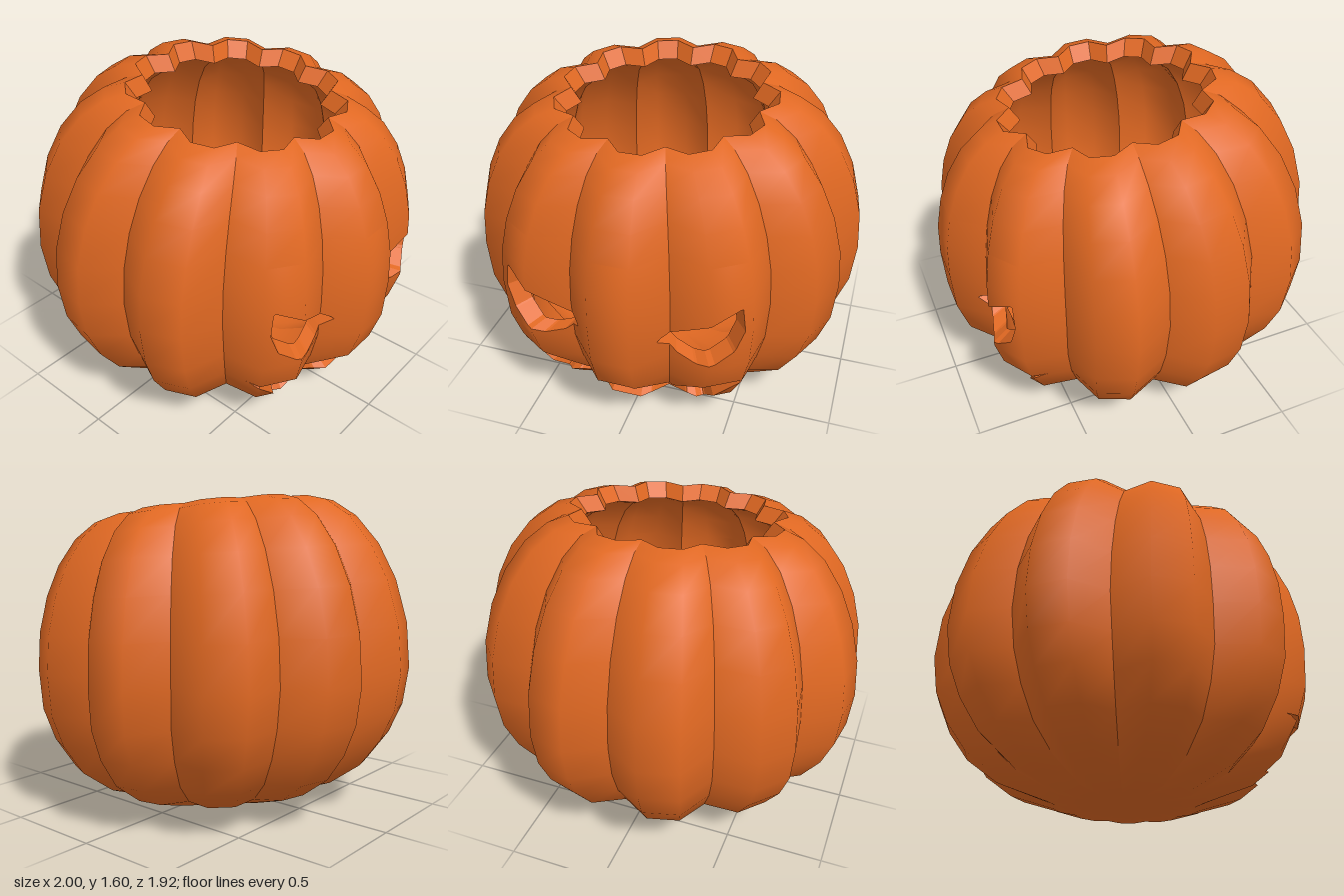
import * as THREE from 'three';

const LOBES = 11;
const STEP = (Math.PI * 2) / LOBES;
const CENTRE = new THREE.Vector3(0, 0.75, 0.04); // the inner wall shrinks toward this point
const INNER = 0.9;
const FINE = 14; // subdivision of the carved panels

// rib profile: radius, height
const PROFILE = [
  [0, 0.02], [0.2, 0.02], [0.4, 0.03], [0.66, 0.12], [0.82, 0.24], [0.92, 0.39], [0.98, 0.55], [1, 0.75],
  [0.985, 0.95], [0.935, 1.14], [0.86, 1.3], [0.76, 1.43], [0.65, 1.51], [0.55, 1.54],
];

// carved outlines in x, y
const eye = [[0.19, 0.65], [0.28, 0.575], [0.38, 0.55], [0.47, 0.57], [0.55, 0.635], [0.59, 0.75], [0.575, 0.875]];
const mouthHalf = [
  [0.08, 0.37], [0.225, 0.24], [0.42, 0.39], [0.59, 0.39], [0.37, 0.155], [0.29, 0.19], [0.17, 0.135], [0.12, 0.18],
];
const mirror = (pts) => pts.map(([x, y]) => [-x, y]).reverse();
const HOLES = [eye, mirror(eye), [...mouthHalf, ...mirror(mouthHalf)]];

// signed distance to the carved outlines, negative inside
function holeDistance(x, y) {
  let best = Infinity;
  for (const poly of HOLES) {
    let inside = false;
    let d = Infinity;
    poly.forEach(([ax, ay], i) => {
      const [bx, by] = poly[(i + 1) % poly.length];
      const ex = bx - ax, ey = by - ay;
      const t = THREE.MathUtils.clamp(((x - ax) * ex + (y - ay) * ey) / (ex * ex + ey * ey), 0, 1);
      d = Math.min(d, Math.hypot(x - ax - ex * t, y - ay - ey * t));
      if ((ay > y) !== (by > y) && x < ax + (ex * (y - ay)) / ey) inside = !inside;
    });
    best = Math.min(best, inside ? -d : d);
  }
  return best;
}

// point on the outer skin: the upper part leans forward and rises to the back
function skinPoint(level, column, lobe) {
  const [r, y] = PROFILE[level];
  const valley = column === 0 || column === 3;
  const ratio = valley ? (level < 3 ? 0.92 : 0.87) : 1;
  const angle = lobe * STEP + [-STEP / 2, -0.1, 0.1, STEP / 2][column];
  const up = Math.max(0, (y - 0.75) / 0.79);
  const down = Math.max(0, 1 - y / 0.75);
  const z = r * ratio * Math.cos(angle) * 0.97;
  return new THREE.Vector3(
    r * ratio * Math.sin(angle),
    y - z * (0.13 * up + 0.04 * down),
    z + 0.08 * up * up + 0.03 * down,
  );
}

// grid of points and smooth normals for one lobe
function lobeGrid(lobe) {
  const points = [];
  const index = [];
  for (let i = 0; i < PROFILE.length; i++) {
    for (let j = 0; j < 4; j++) {
      points.push(skinPoint(i, j, lobe));
      if (i && j) {
        const b = i * 4 + j, a = b - 1;
        index.push(a - 4, b - 4, b, a - 4, b, a);
      }
    }
  }
  const geo = new THREE.BufferGeometry().setFromPoints(points);
  geo.setIndex(index);
  geo.computeVertexNormals();
  const normals = geo.attributes.normal;
  return points.map((p, i) => ({ p, n: new THREE.Vector3().fromBufferAttribute(normals, i) }));
}

const mix = (a, b, t) => ({ p: a.p.clone().lerp(b.p, t), n: a.n.clone().lerp(b.n, t) });
const inward = (p) => p.clone().sub(CENTRE).multiplyScalar(INNER).add(CENTRE);

// collects loose triangles with optional normals
class Surface {
  constructor() {
    this.pos = [];
    this.nor = [];
  }
  add(p, n) {
    this.pos.push(p.x, p.y, p.z);
    if (n) this.nor.push(n.x, n.y, n.z);
  }
  mesh(name, material) {
    const geo = new THREE.BufferGeometry();
    geo.setAttribute('position', new THREE.Float32BufferAttribute(this.pos, 3));
    if (this.nor.length) {
      geo.setAttribute('normal', new THREE.Float32BufferAttribute(this.nor, 3));
      geo.normalizeNormals();
    } else geo.computeVertexNormals();
    const mesh = new THREE.Mesh(geo, material);
    mesh.name = name;
    return mesh;
  }
}

export function createModel() {
  const orange = new THREE.MeshStandardMaterial({ color: 0xe06822 });
  orange.name = 'pumpkin orange';
  const skin = new Surface(), inside = new Surface(), rim = new Surface(), cuts = new Surface();

  // outer triangle and its matching inner triangle
  const shellTriangle = (a, b, c) => {
    [a, b, c].forEach((v) => skin.add(v.p, v.n));
    [a, c, b].forEach((v) => inside.add(inward(v.p), v.n.clone().negate()));
  };
  // wall through the flesh along an edge
  const wall = (surface, p, q) => {
    const pi = inward(p), qi = inward(q);
    [p, pi, qi, p, qi, q].forEach((v) => surface.add(v));
  };
  // trims a triangle at the carved outlines and walls the cut
  const carvedTriangle = (tri) => {
    const kept = [];
    let exit = null, entry = null;
    tri.forEach((a, i) => {
      const b = tri[(i + 1) % 3];
      if (a.d >= 0) kept.push(a);
      if ((a.d >= 0) !== (b.d >= 0)) {
        const cut = mix(a, b, a.d / (a.d - b.d));
        kept.push(cut);
        if (a.d >= 0) exit = cut;
        else entry = cut;
      }
    });
    for (let i = 2; i < kept.length; i++) shellTriangle(kept[0], kept[i - 1], kept[i]);
    if (exit && entry) wall(cuts, exit.p, entry.p);
  };

  for (let lobe = 0; lobe < LOBES; lobe++) {
    const grid = lobeGrid(lobe);
    const front = lobe <= 1 || lobe === LOBES - 1;
    for (let i = 0; i < PROFILE.length - 1; i++) {
      for (let j = 0; j < 3; j++) {
        const a = grid[i * 4 + j], b = grid[i * 4 + j + 1];
        const d = grid[i * 4 + j + 4], c = grid[i * 4 + j + 5];
        const carved = front && i >= 2 && i <= 8;
        const n = carved ? FINE : 1;
        const pts = [];
        for (let v = 0; v <= n; v++) {
          for (let u = 0; u <= n; u++) {
            const s = mix(mix(a, b, u / n), mix(d, c, u / n), v / n);
            s.d = carved ? holeDistance(s.p.x, s.p.y) : 1;
            pts.push(s);
          }
        }
        for (let v = 0; v < n; v++) {
          for (let u = 0; u < n; u++) {
            const k = v * (n + 1) + u, m = k + n + 1;
            carvedTriangle([pts[k], pts[k + 1], pts[m + 1]]);
            carvedTriangle([pts[k], pts[m + 1], pts[m]]);
          }
        }
        // slanted edge of the top opening
        if (i === PROFILE.length - 2) wall(rim, c.p, d.p);
      }
    }
  }

  const pumpkin = new THREE.Group();
  pumpkin.name = 'carvedPumpkin';
  pumpkin.add(
    skin.mesh('ribbedSkin', orange),
    inside.mesh('hollowInside', orange),
    rim.mesh('openingRim', orange),
    cuts.mesh('eyeAndMouthCuts', orange),
  );
  return pumpkin;
}
